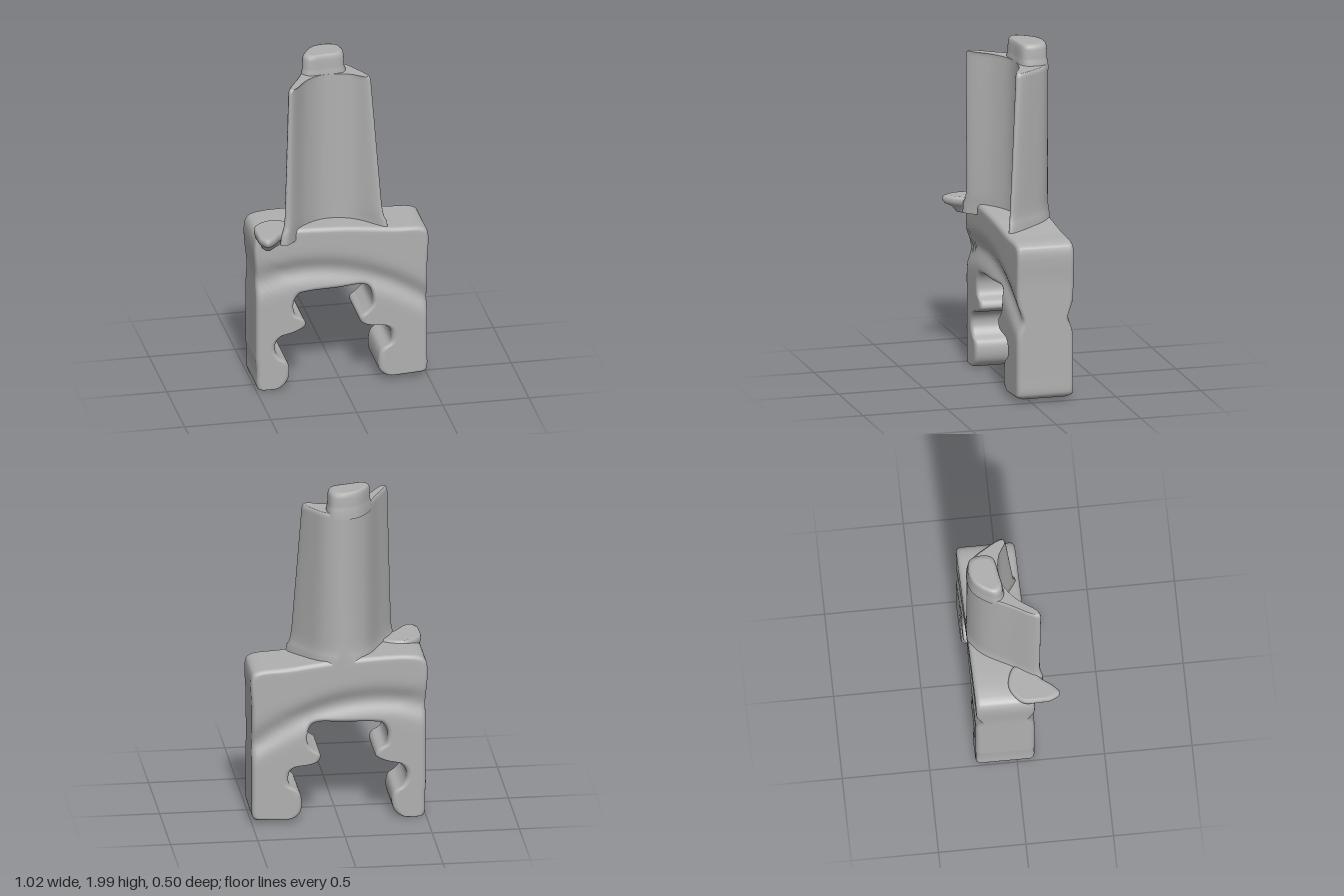
import * as THREE from 'three';

const metal = new THREE.MeshStandardMaterial({ color: 0xb0b0b0 });
metal.name = 'grey metal';

// Joins closed rings of points into a smooth skin; capDirs gives the up/down facing of the end caps.
function loft(name, rings, capDirs) {
  const pos = [], idx = [], n = rings[0].length;
  const center = new THREE.Box3().setFromPoints(rings.flat()).getCenter(new THREE.Vector3());
  rings.flat().forEach(p => pos.push(p.x, p.y, p.z));
  for (let i = 0; i < rings.length - 1; i++) for (let j = 0; j < n; j++) {
    const a = i * n + j, b = i * n + (j + 1) % n;
    idx.push(a, b, a + n, b, b + n, a + n);
  }
  // Turn the skin outwards
  const pts = rings.flat().map(p => p.clone().sub(center));
  let volume = 0;
  for (let i = 0; i < idx.length; i += 3) {
    volume += pts[idx[i]].dot(pts[idx[i + 1]].clone().cross(pts[idx[i + 2]]));
  }
  if (volume < 0) idx.reverse();
  // End caps
  [rings[0], rings[rings.length - 1]].forEach((ring, k) => {
    const start = pos.length / 3;
    ring.forEach(p => pos.push(p.x, p.y, p.z));
    const flat = ring.map(p => new THREE.Vector2(p.x, p.z));
    for (const [a, b, c] of THREE.ShapeUtils.triangulateShape(flat, [])) {
      const up = -(flat[b].clone().sub(flat[a]).cross(flat[c].clone().sub(flat[a])));
      if (up * capDirs[k] > 0) idx.push(start + a, start + b, start + c);
      else idx.push(start + a, start + c, start + b);
    }
  });
  const g = new THREE.BufferGeometry();
  g.setAttribute('position', new THREE.Float32BufferAttribute(pos, 3));
  g.setIndex(idx);
  g.computeVertexNormals();
  const mesh = new THREE.Mesh(g, metal);
  mesh.name = name;
  return mesh;
}

// Smooth closed outline in plan from [x, z] points
const outline = (pts, count) => new THREE.CatmullRomCurve3(
  pts.map(([x, z]) => new THREE.Vector3(x, 0, z)), true).getPoints(count).slice(0, -1);

// Arch stations: inner x, y and outer x, y, from left foot to right foot
const STATIONS = [
  [-0.42, 0.01, -0.46, 0.01], [-0.36, 0.015, -0.485, 0.015], [-0.32, 0.05, -0.495, 0.04],
  [-0.305, 0.1, -0.495, 0.1], [-0.315, 0.165, -0.497, 0.16], [-0.36, 0.2, -0.5, 0.2],
  [-0.385, 0.24, -0.5, 0.24], [-0.385, 0.29, -0.5, 0.29], [-0.35, 0.335, -0.5, 0.33],
  [-0.26, 0.36, -0.5, 0.36], [-0.21, 0.39, -0.5, 0.39], [-0.22, 0.425, -0.5, 0.43],
  [-0.27, 0.46, -0.5, 0.5], [-0.28, 0.53, -0.5, 0.7], [-0.25, 0.585, -0.505, 0.94],
  [-0.2, 0.597, -0.47, 0.98], [-0.03, 0.603, -0.03, 0.985], [0.12, 0.608, 0.3, 0.95],
  [0.16, 0.59, 0.47, 0.935], [0.18, 0.54, 0.5, 0.91], [0.178, 0.48, 0.5, 0.7],
  [0.14, 0.44, 0.5, 0.5], [0.105, 0.41, 0.5, 0.42], [0.12, 0.37, 0.5, 0.37],
  [0.25, 0.345, 0.5, 0.34], [0.285, 0.31, 0.5, 0.31], [0.285, 0.24, 0.5, 0.24],
  [0.23, 0.195, 0.5, 0.2], [0.215, 0.15, 0.5, 0.15], [0.22, 0.07, 0.5, 0.07],
  [0.26, 0.035, 0.495, 0.05], [0.32, 0.03, 0.48, 0.03],
];

// Arched root block with hooked legs and a curved groove on both faces
function rootBlock() {
  const curve = k => new THREE.CatmullRomCurve3(
    STATIONS.map(s => new THREE.Vector3(s[k], s[k + 1], 0)));
  const inner = curve(0), outer = curve(2), count = 160, rings = [];
  const front = 0.093, back = -0.243;
  for (let i = 0; i <= count; i++) {
    const a = inner.getPoint(i / count), b = outer.getPoint(i / count);
    const r = Math.min(0.028, a.distanceTo(b) * 0.45), rs = r / a.distanceTo(b);
    const end = Math.min(i, count - i), inset = end < 6 ? 0.025 * (1 - end / 6) ** 2 : 0;
    const ring = [];
    const put = (s, z) => {
      const p = a.clone().lerp(b, s);
      const arc = 0.73 - 0.5 * (p.x + 0.2) ** 2;
      const groove = 0.032 * Math.exp(-(((p.y - arc) / 0.065) ** 2));
      const mid = (front + back) / 2;
      p.z = mid + (z - mid) * (1 - (groove + inset) / (front - mid)) - 0.018 * p.x;
      ring.push(p);
    };
    const corner = (s, z, from) => {
      for (let k = 0; k <= 4; k++) {
        const t = from + k * Math.PI / 8;
        put(s + rs * Math.cos(t), z + r * Math.sin(t));
      }
    };
    const face = (s0, s1, z) => {
      for (let k = 1; k < 18; k++) put(s0 + (s1 - s0) * k / 18, z);
    };
    corner(1 - rs, front - r, 0);
    face(1 - rs, rs, front);
    corner(rs, front - r, Math.PI / 2);
    corner(rs, back + r, Math.PI);
    face(rs, 1 - rs, back);
    corner(1 - rs, back + r, Math.PI * 1.5);
    rings.push(ring);
  }
  return loft('rootBlock', rings, [-1, -1]);
}

// Crescent blade, tapering upwards, with a flared foot and a rounded tip
function blade() {
  const foot = outline([[-0.345, 0.135], [-0.26, -0.02], [-0.155, -0.185], [-0.03, -0.243],
    [0.085, -0.2], [0.18, -0.08], [0.25, 0.05], [0.235, 0.058], [0.1, -0.03], [0, -0.052],
    [-0.1, -0.035], [-0.2, 0.03], [-0.315, 0.145]], 96);
  const tip = outline([[-0.322, 0.145], [-0.25, 0.0], [-0.15, -0.175], [-0.03, -0.24],
    [0.07, -0.21], [0.14, -0.12], [0.187, -0.02], [0.172, -0.002], [0.09, -0.045], [0, -0.06],
    [-0.1, -0.045], [-0.2, 0.025], [-0.305, 0.155]], 96);
  const levels = [[0, 1.08], [0.06, 1.07], [0.085, 1.03], [0.12, 1.01], [0.17, 1], [0.4, 1],
    [0.7, 1], [0.97, 1], [0.985, 0.99], [0.996, 0.97], [1, 0.94]];
  return loft('blade', levels.map(([t, s]) => foot.map((p, i) => {
    const q = p.clone().lerp(tip[i], t);
    q.x = -0.04 + (q.x + 0.04) * s;
    q.z = Math.max(-0.245, -0.06 + (q.z + 0.06) * s);
    q.y = 0.93 + t * (0.945 - 0.06 * q.x);
    return q;
  })), [-1, 1]);
}

// Stack of scaled copies of one outline: levels hold [y, scale]
function stack(name, pts, cx, cz, levels, tilt) {
  const base = outline(pts, 64);
  return loft(name, levels.map(([y, s]) => base.map(p => {
    const x = cx + (p.x - cx) * s;
    return new THREE.Vector3(x, y - tilt * (x - cx), cz + (p.z - cz) * s);
  })), [-1, 1]);
}

export function createModel() {
  const model = new THREE.Group();
  model.name = 'turbineBlade';
  model.add(rootBlock(), blade());
  // Rounded lug on the blade tip
  model.add(stack('tipLug', [[-0.195, -0.085], [-0.175, -0.14], [-0.11, -0.215], [-0.02, -0.237],
    [0.04, -0.215], [0.055, -0.13], [0.035, -0.085], [-0.07, -0.06], [-0.165, -0.05]], -0.07, -0.145,
  [[1.84, 1.08], [1.885, 1.06], [1.9, 1.01], [1.92, 1], [1.965, 0.99], [1.985, 0.95],
    [1.994, 0.88], [1.997, 0.75]], 0.03));
  // Pointed lip at the front corner of the platform
  model.add(stack('platformLip', [[-0.498, 0.03], [-0.506, 0.13], [-0.5, 0.2], [-0.465, 0.25],
    [-0.42, 0.22], [-0.36, 0.145], [-0.27, 0.09], [-0.28, 0.0], [-0.4, -0.04]], -0.42, 0.05,
  [[0.91, 0.6], [0.945, 0.75], [0.96, 0.93], [0.975, 0.99], [0.99, 1], [1.003, 0.97],
    [1.01, 0.88], [1.008, 0.7]], 0.02));
  return model;
}
